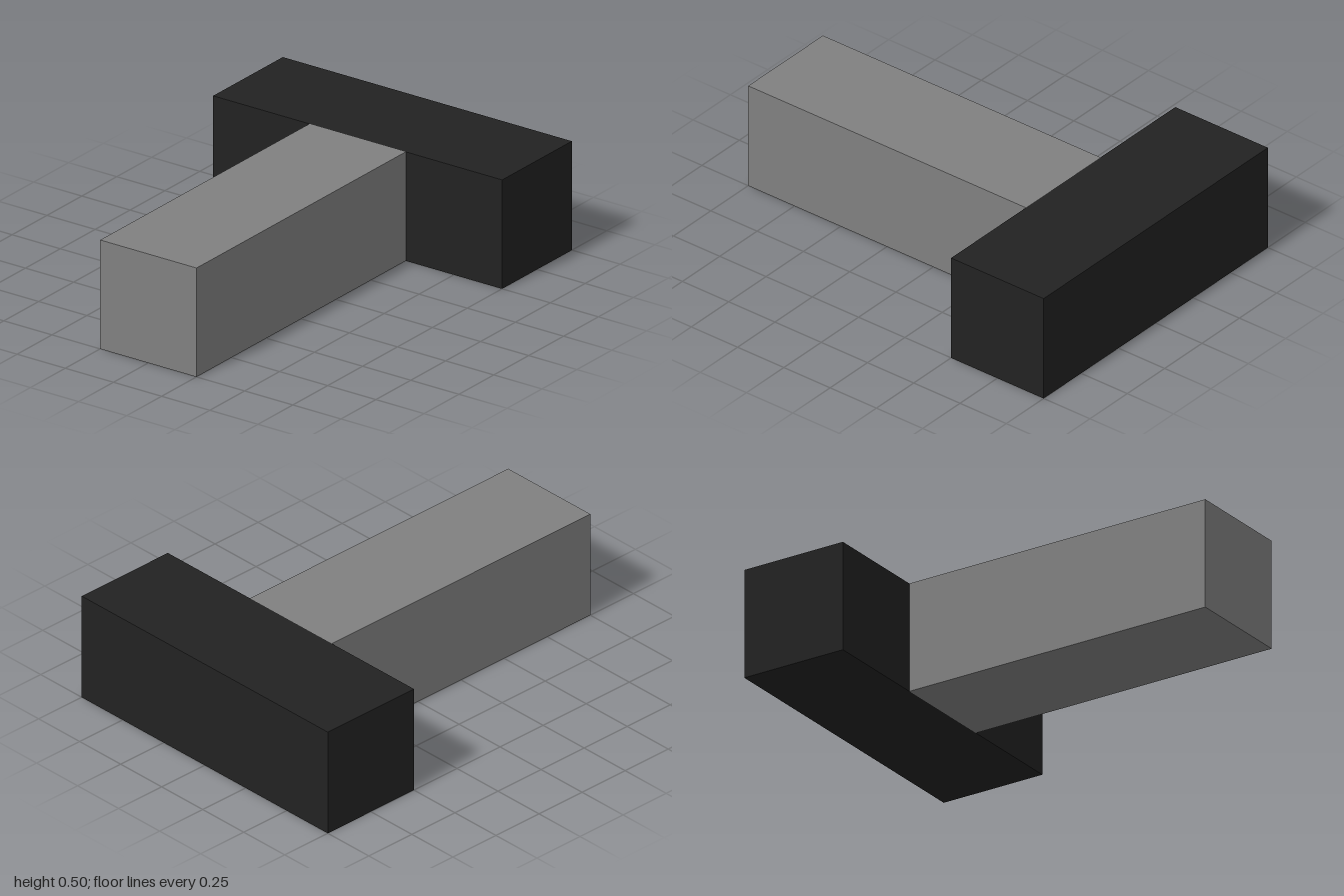
import * as THREE from 'three';

const handleGray = new THREE.MeshStandardMaterial({ color: 0x808080 });
handleGray.name = 'handle gray';
const headBlack = new THREE.MeshStandardMaterial({ color: 0x222222 });
headBlack.name = 'head black';

// A box resting on y = 0, centred on x = 0
function block(name, width, height, depth, z, material) {
  const mesh = new THREE.Mesh(new THREE.BoxGeometry(width, height, depth), material);
  mesh.name = name;
  mesh.position.set(0, height / 2, z);
  return mesh;
}

export function createModel() {
  const model = new THREE.Group();
  model.name = 'mallet';
  // Long square handle running forward from the head
  model.add(block('handle', 0.5, 0.5, 1.5, 0.25, handleGray));
  // Crosswise head at the back
  model.add(block('head', 1.5, 0.5, 0.5, -0.75, headBlack));
  return model;
}
